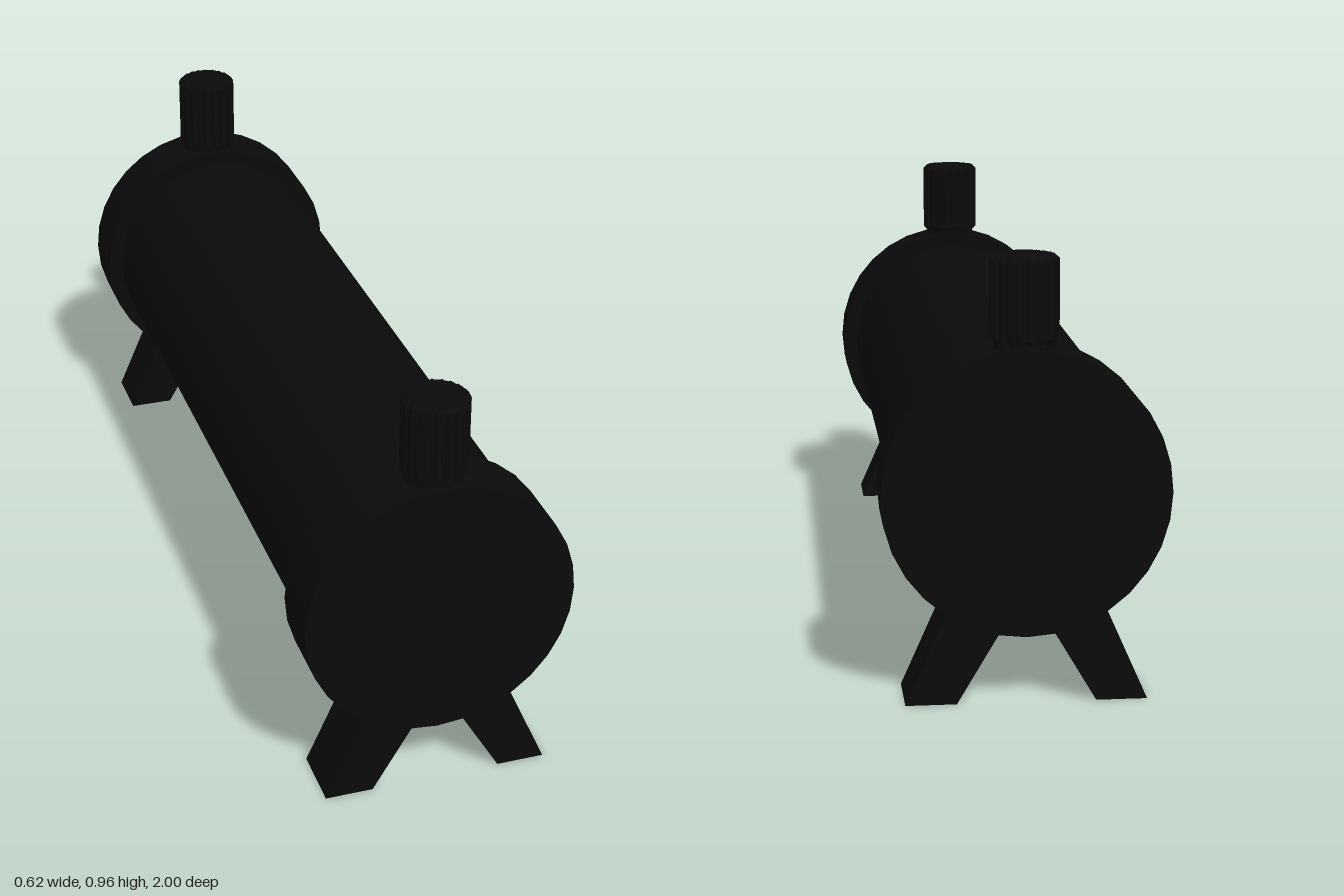
import * as THREE from 'three';

const CENTER_Y = 0.458;
const CAP_R = 0.312;
const CAP_DEPTH = 0.15;

export function createModel() {
  const model = new THREE.Group();
  const material = new THREE.MeshStandardMaterial({ color: 0x0a0a0a });

  const add = (parent, name, geometry, x = 0, y = 0, z = 0) => {
    const mesh = new THREE.Mesh(geometry, material);
    mesh.name = name;
    mesh.position.set(x, y, z);
    parent.add(mesh);
    return mesh;
  };

  // Long round body between the end caps
  const body = new THREE.CylinderGeometry(0.276, 0.276, 1.72, 32).rotateX(Math.PI / 2);
  add(model, 'bodyTube', body, 0, CENTER_Y, 0);

  // Splayed leg, tapering slightly toward the foot and sunk into the cap
  const legGeometry = (side) => {
    const points = [[0.151, 0], [0.262, 0], [0.174, 0.199], [0.15, 0.25], [0.03, 0.2], [0.061, 0.152]];
    const shape = new THREE.Shape(points.map(([x, y]) => new THREE.Vector2(x * side, y)));
    return new THREE.ExtrudeGeometry(shape, { depth: CAP_DEPTH - 0.002, bevelEnabled: false })
      .translate(0, 0, -CAP_DEPTH / 2 + 0.001);
  };

  // Grooved knob outline: flat ribs separated by narrow notches
  const ribs = 20;
  const bevel = 0.01;
  const outline = [];
  for (let i = 0; i < ribs; i++) {
    for (const [t, r] of [[0, 0.075], [0.6, 0.075], [0.72, 0.07], [0.88, 0.07]]) {
      const a = ((i + t) / ribs) * Math.PI * 2;
      outline.push(new THREE.Vector2(Math.cos(a) * r, Math.sin(a) * r));
    }
  }
  const knobGeometry = new THREE.ExtrudeGeometry(new THREE.Shape(outline), {
    depth: 0.188 - 2 * bevel,
    bevelEnabled: true,
    bevelThickness: bevel,
    bevelSize: bevel,
    bevelOffset: -bevel,
    bevelSegments: 1,
  }).translate(0, 0, bevel).rotateX(-Math.PI / 2);

  // Matching assembly at each end
  for (const end of [1, -1]) {
    const group = new THREE.Group();
    group.name = end > 0 ? 'frontEnd' : 'backEnd';
    group.position.z = end * (1 - CAP_DEPTH / 2);

    const cap = new THREE.CylinderGeometry(CAP_R, CAP_R, CAP_DEPTH, 32).rotateX(Math.PI / 2);
    add(group, 'endCap', cap, 0, CENTER_Y, 0);
    add(group, 'leftLeg', legGeometry(1));
    add(group, 'rightLeg', legGeometry(-1));
    add(group, 'knobNeck', new THREE.CylinderGeometry(0.066, 0.066, 0.06, 32), 0, 0.76, 0);
    add(group, 'knob', knobGeometry, 0, 0.775, 0);
    model.add(group);
  }

  return model;
}
